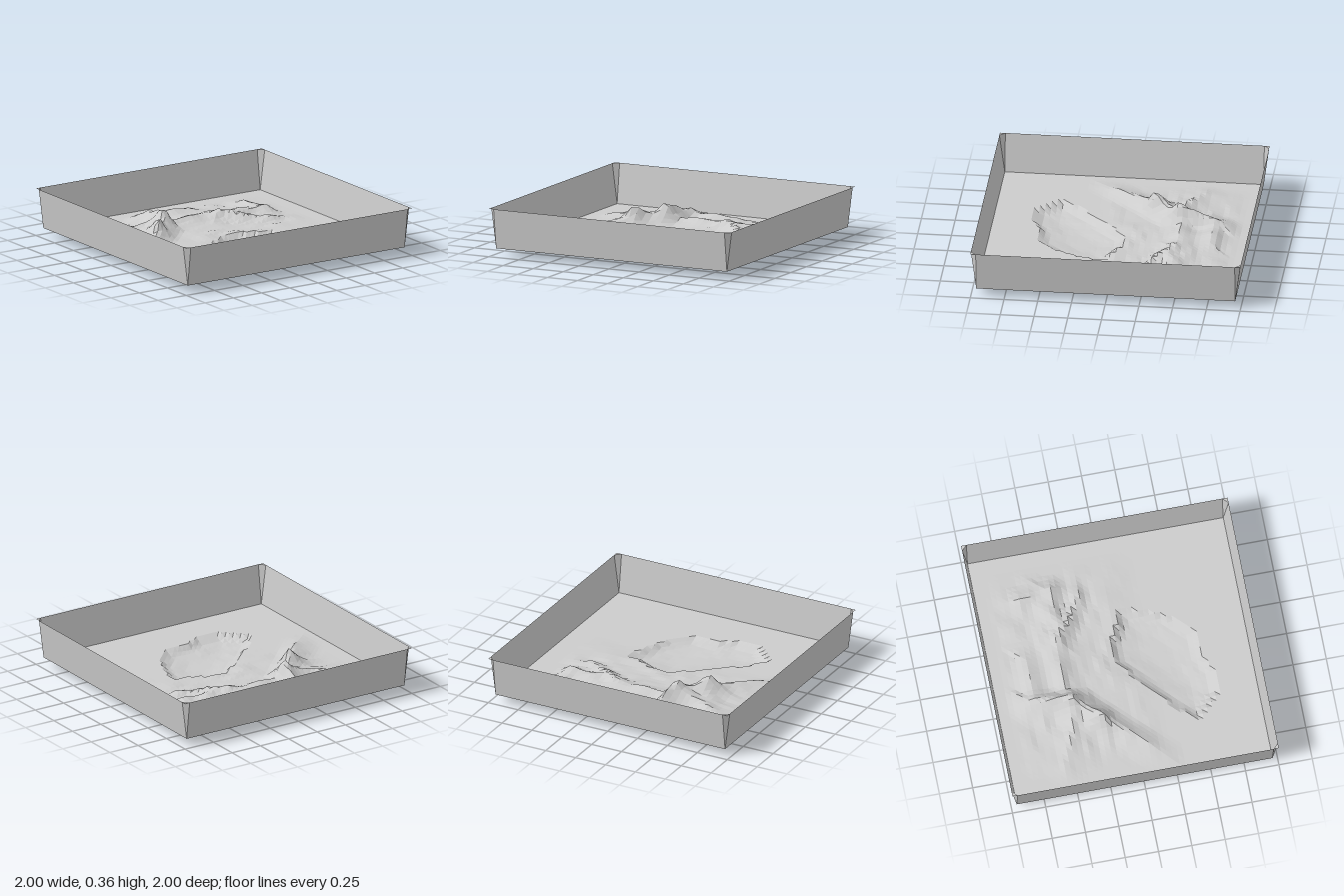
import * as THREE from 'three';

const FLOOR = 0.06, TOP = 0.36, IN = 0.96, OUT = 1, CELLS = 48;

// Lake outline on the ground as x, z pairs
const SHORE = [[-0.54, 0.48], [-0.42, 0.33], [-0.06, 0.03], [0.01, -0.03], [0.13, -0.03], [0.24, 0.03],
  [0.37, 0.07], [0.37, 0.14], [0.3, 0.37], [0.13, 0.57], [-0.1, 0.6], [-0.18, 0.65], [-0.38, 0.65], [-0.44, 0.58]];

// Ridges: start x, z, end x, z, start height, end height, width on the north-west and south-east sides
const RIDGES = [
  [-0.42, -0.22, -0.26, -0.42, 0.15, 0.14, 0.2, 0.13],
  [-0.26, -0.42, -0.2, -0.7, 0.12, 0.07, 0.2, 0.12],
  [-0.2, -0.7, 0.12, -0.7, 0.06, 0.04, 0.08, 0.22],
  [-0.42, -0.22, -0.78, 0.2, 0.08, 0.02, 0.18, 0.12],
  [-0.3, -0.38, -0.72, -0.55, 0.09, 0.03, 0.17, 0.17],
  [-0.22, -0.45, 0.25, -0.42, 0.05, 0.08, 0.2, 0.14],
  [0.25, -0.42, 0.64, -0.4, 0.08, 0.05, 0.22, 0.12],
  [0.3, -0.36, 0.55, -0.22, 0.06, 0.03, 0.12, 0.1],
  [0.62, -0.42, 0.6, -0.7, 0.05, 0.03, 0.12, 0.12],
];

const clamp = THREE.MathUtils.clamp;
const smooth = THREE.MathUtils.smoothstep;

// Nearest point of a segment: distance, position along it and side
function toSegment(x, z, ax, az, bx, bz) {
  const dx = bx - ax, dz = bz - az;
  const t = clamp(((x - ax) * dx + (z - az) * dz) / (dx * dx + dz * dz), 0, 1);
  const px = x - ax - dx * t, pz = z - az - dz * t;
  return { d: Math.hypot(px, pz), t, northWest: px + pz < 0 };
}

// Distance inside the shore line, 0 when outside
function lakeInset(x, z) {
  let inside = false, d = Infinity;
  SHORE.forEach(([ax, az], i) => {
    const [bx, bz] = SHORE[(i + 1) % SHORE.length];
    if ((az > z) !== (bz > z) && x < ax + (z - az) * (bx - ax) / (bz - az)) inside = !inside;
    d = Math.min(d, toSegment(x, z, ax, az, bx, bz).d);
  });
  return inside ? d : 0;
}

// Smooth lattice noise
function hash(i, j) {
  const s = Math.sin(i * 127.1 + j * 311.7) * 43758.5453;
  return s - Math.floor(s);
}
function noise(x, z) {
  const i = Math.floor(x), j = Math.floor(z);
  const u = smooth(x - i, 0, 1), v = smooth(z - j, 0, 1);
  const a = hash(i, j) * (1 - u) + hash(i + 1, j) * u;
  const b = hash(i, j + 1) * (1 - u) + hash(i + 1, j + 1) * u;
  return a * (1 - v) + b * v;
}

function groundHeight(x, z) {
  const inset = lakeInset(x, z);
  if (inset > 0) {
    const depth = 0.018 + 0.025 * smooth(inset, 0, 0.06) + 0.017 * smooth(inset, 0.04, 0.2);
    return Math.max(0, FLOOR - depth + 0.005 * (noise(x * 14, z * 14) - 0.5));
  }
  let sum = 0;
  for (const [ax, az, bx, bz, h0, h1, wNW, wSE] of RIDGES) {
    const s = toSegment(x, z, ax, az, bx, bz);
    const fall = Math.max(0, 1 - s.d / (s.northWest ? wNW : wSE));
    sum += ((h0 + (h1 - h0) * s.t) * fall * (0.5 + 0.5 * fall)) ** 3;
  }
  const rough = 0.65 + 0.6 * noise(x * 9 + 20, z * 11 + 5);
  const hills = smooth(z, -0.9, -0.7) * (1 - smooth(z, -0.1, 0.25)) * (1 - smooth(Math.abs(x), 0.6, 0.85));
  const edge = 1 - smooth(Math.max(Math.abs(x), Math.abs(z)), 0.8, 0.94);
  return FLOOR + edge * (Math.cbrt(sum) * rough + hills * 0.022 * noise(x * 8, z * 14));
}

export function createModel() {
  const model = new THREE.Group();
  const material = new THREE.MeshStandardMaterial({ color: 0xcccccc, flatShading: true, side: THREE.DoubleSide });

  // Ground sheet with mountains and a sunken lake bed
  const ground = new THREE.PlaneGeometry(2 * IN, 2 * IN, CELLS, CELLS).rotateX(-Math.PI / 2);
  const p = ground.attributes.position;
  for (let i = 0; i < p.count; i++) p.setY(i, groundHeight(p.getX(i), p.getZ(i)));
  ground.computeVertexNormals();
  const terrain = new THREE.Mesh(ground, material);
  terrain.name = 'terrain';
  model.add(terrain);

  // Four outward-leaning walls, each with a corner gusset and a small flat corner lip
  const facets = (points) => {
    const g = new THREE.BufferGeometry();
    g.setAttribute('position', new THREE.Float32BufferAttribute(points.flat(), 3));
    g.computeVertexNormals();
    return g;
  };
  const a = [-IN, FLOOR, IN], b = [IN, FLOOR, IN], c = [IN, TOP, OUT], d = [-IN, TOP, OUT];
  const e = [OUT, TOP, IN], tip = [OUT, TOP, OUT];
  const parts = { wall: facets([a, b, c, a, c, d]), cornerGusset: facets([b, e, c]), cornerLip: facets([c, tip, e]) };
  for (let i = 0; i < 4; i++) {
    const side = new THREE.Group();
    side.name = 'side' + (i + 1);
    side.rotation.y = i * Math.PI / 2;
    for (const [name, geometry] of Object.entries(parts)) {
      const mesh = new THREE.Mesh(geometry, material);
      mesh.name = name;
      side.add(mesh);
    }
    model.add(side);
  }
  return model;
}
